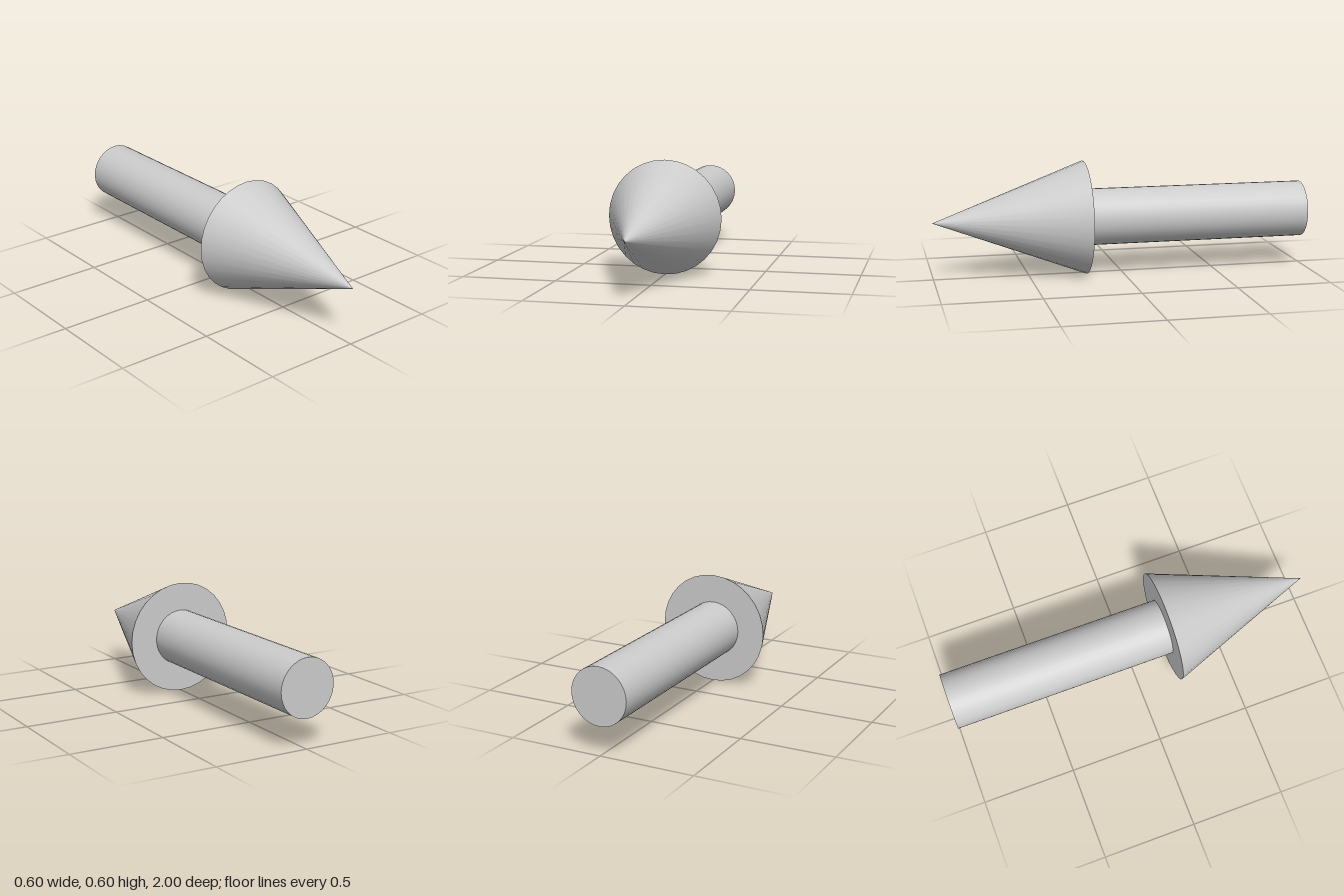
import * as THREE from 'three';

const SIDES = 32;
const AXIS_Y = 0.3;

export function createModel() {
  const group = new THREE.Group();
  group.name = 'arrow';
  const material = new THREE.MeshStandardMaterial({ color: 0xcccccc });

  // Lay a y-axis solid along z, spanning zBack to zFront
  const addPart = (name, rFront, rBack, zBack, zFront) => {
    const geometry = new THREE.CylinderGeometry(rFront, rBack, zFront - zBack, SIDES);
    geometry.rotateX(Math.PI / 2);
    const mesh = new THREE.Mesh(geometry, material);
    mesh.name = name;
    mesh.position.set(0, AXIS_Y, (zBack + zFront) / 2);
    group.add(mesh);
  };

  // Pointed head facing forward, round shaft behind it
  addPart('arrowHead', 0, 0.3, 0.2, 1);
  addPart('shaft', 0.15, 0.15, -1, 0.2);

  return group;
}
